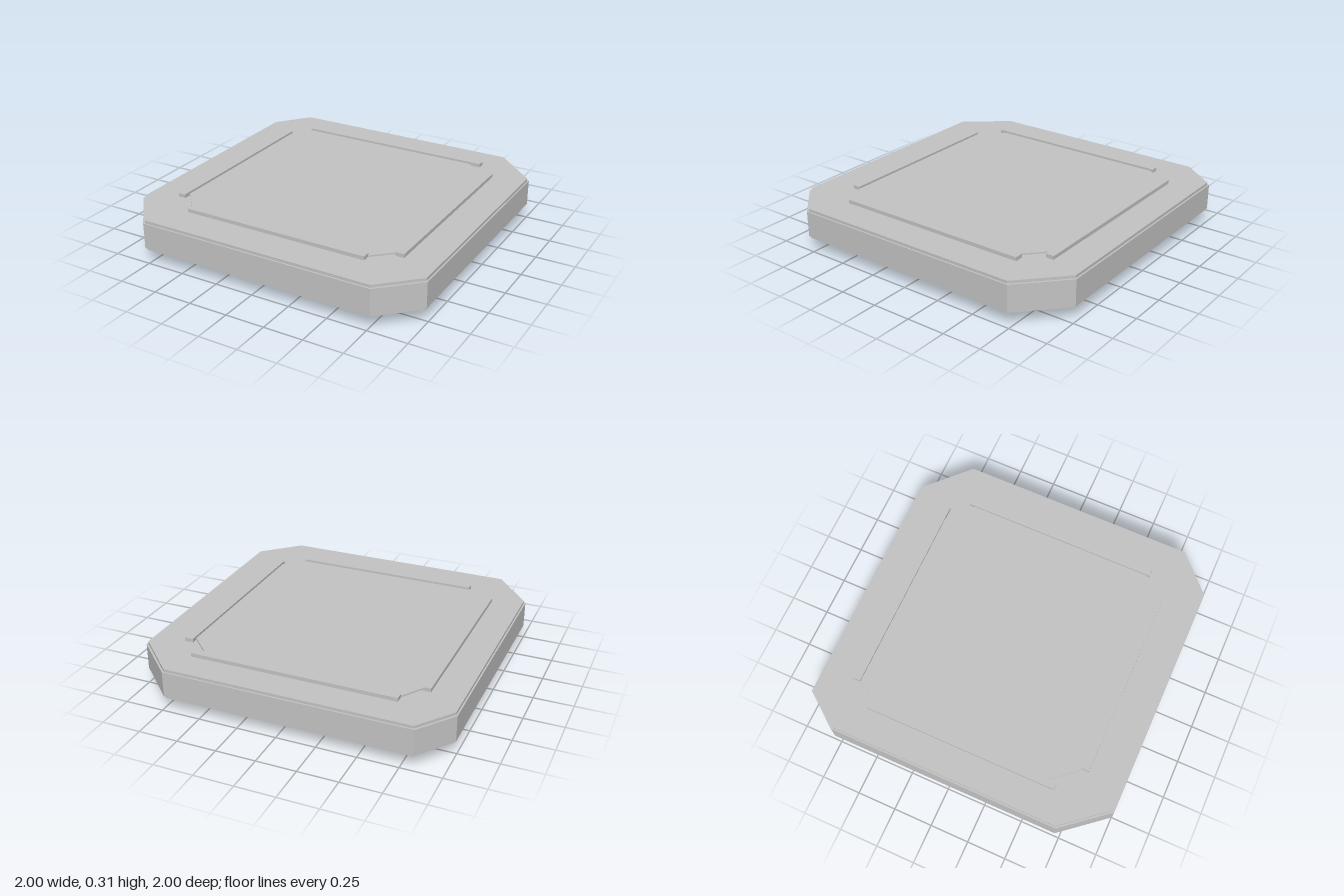
import * as THREE from 'three';

export function createModel() {
  const model = new THREE.Group();
  const grey = new THREE.MeshStandardMaterial({ color: 0xc4c4c4 });
  grey.name = 'light grey';

  const add = (name, geometry) => {
    const mesh = new THREE.Mesh(geometry, grey);
    mesh.name = name;
    model.add(mesh);
  };

  // Flat plate from an [x, z] outline, between two heights
  const plate = (name, outline, y0, y1, scale = 1) => {
    const shape = new THREE.Shape(outline.map(([x, z]) => new THREE.Vector2(x * scale, -z * scale)));
    const geometry = new THREE.ExtrudeGeometry(shape, { depth: y1 - y0, bevelEnabled: false });
    add(name, geometry.rotateX(-Math.PI / 2).translate(0, y0, 0));
  };

  // Box given by its lowest and highest corners
  const bar = (name, x0, x1, y0, y1, z0, z1) => add(name,
    new THREE.BoxGeometry(x1 - x0, y1 - y0, z1 - z0)
      .translate((x0 + x1) / 2, (y0 + y1) / 2, (z0 + z1) / 2));

  // Slab with uneven cut corners, and its slightly inset top and bottom skins
  const slab = [[-0.83, -1], [0.73, -1], [1, -0.74], [1, 0.78],
    [0.77, 1], [-0.77, 1], [-1, 0.72], [-1, -0.78]];
  plate('slabBody', slab, 0.1, 0.265);
  plate('topSkin', slab, 0.265, 0.283, 0.99);
  plate('bottomSkin', slab, 0.086, 0.1, 0.99);

  // Slightly raised centre panel
  const panel = [[-0.66, -0.745], [0.58, -0.745], [0.73, -0.6], [0.73, 0.61],
    [0.6, 0.73], [-0.61, 0.73], [-0.75, 0.57], [-0.75, -0.61]];
  plate('centrePanel', panel, 0.28, 0.293);

  // Rails around the panel
  bar('backRail', -0.66, 0.65, 0.28, 0.307, -0.797, -0.745);
  bar('frontRail', -0.61, 0.605, 0.28, 0.307, 0.72, 0.77);
  bar('rightRail', -0.797, -0.75, 0.28, 0.307, -0.63, 0.62);
  bar('leftRail', 0.73, 0.785, 0.28, 0.307, -0.64, 0.635);

  // Runners underneath
  for (const x of [-0.54, 0, 0.54]) bar('runner', x - 0.05, x + 0.05, 0, 0.09, -0.79, 0.785);

  return model;
}
